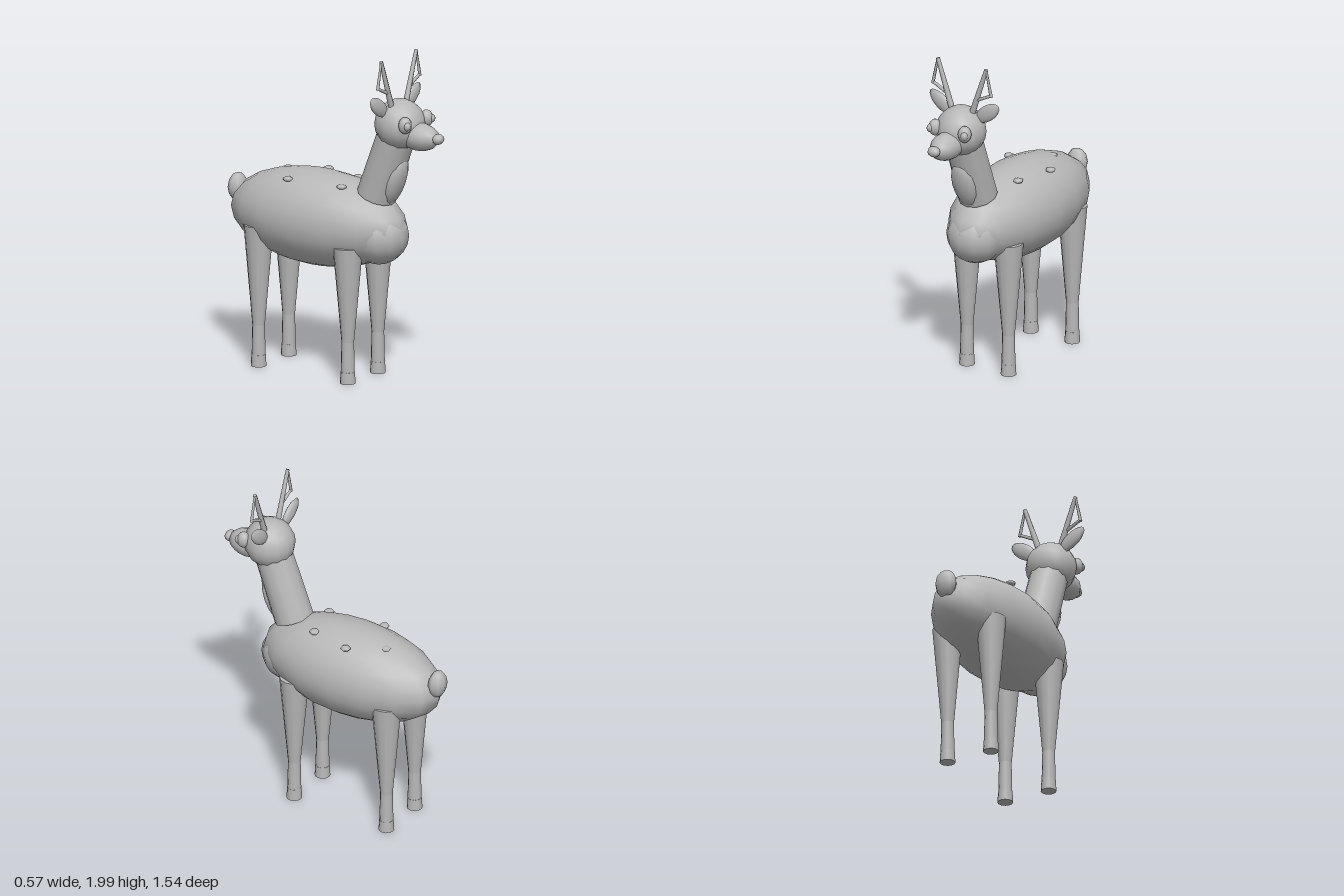
import * as THREE from 'three';

export function createModel() {
  const model = new THREE.Group();
  model.name = 'deer';
  const grey = new THREE.MeshStandardMaterial({ color: 0xb8b8b8 });
  grey.name = 'plain grey';

  const add = (name, geometry, parent = model) => {
    const mesh = new THREE.Mesh(geometry, grey);
    mesh.name = name;
    parent.add(mesh);
    return mesh;
  };
  const ellipsoid = (name, pos, radii, w = 12, h = 8, parent = model) => {
    const mesh = add(name, new THREE.SphereGeometry(1, w, h), parent);
    mesh.position.set(...pos);
    mesh.scale.set(...radii);
    return mesh;
  };
  // Tapered rod between two points
  const rod = (name, from, to, r0, r1, sides, parent = model) => {
    const a = new THREE.Vector3(...from), b = new THREE.Vector3(...to);
    const dir = b.clone().sub(a);
    const mesh = add(name, new THREE.CylinderGeometry(r1, r0, dir.length(), sides), parent);
    mesh.position.copy(a).add(b).multiplyScalar(0.5);
    mesh.quaternion.setFromUnitVectors(new THREE.Vector3(0, 1, 0), dir.normalize());
    return mesh;
  };

  // Torso
  ellipsoid('body', [0, 0.925, -0.125], [0.285, 0.285, 0.605], 16, 12);
  ellipsoid('chest', [0, 0.885, 0.305], [0.175, 0.175, 0.18], 12, 10);
  ellipsoid('tail', [0, 1.01, -0.715], [0.07, 0.085, 0.052], 8, 6);

  // Neck with its throat patch
  rod('neck', [0, 1.12, 0.29], [0, 1.55, 0.45], 0.118, 0.113, 12);
  const throat = ellipsoid('throatPatch', [0, 1.23, 0.43], [0.078, 0.16, 0.05], 12, 8);
  throat.rotation.x = 0.35;

  // Head
  ellipsoid('head', [0, 1.58, 0.46], [0.15, 0.15, 0.152], 14, 10);
  ellipsoid('muzzle', [0, 1.525, 0.6], [0.087, 0.083, 0.135], 12, 8);
  ellipsoid('nose', [0, 1.53, 0.735], [0.042, 0.032, 0.033], 8, 6);

  for (const s of [1, -1]) {
    const side = s > 0 ? 'left' : 'right';

    ellipsoid(side + 'Eye', [s * 0.105, 1.61, 0.573], [0.04, 0.05, 0.041], 10, 8);
    ellipsoid(side + 'Pupil', [s * 0.121, 1.61, 0.6], [0.022, 0.026, 0.022], 8, 6);

    const ear = ellipsoid(side + 'Ear', [s * 0.163, 1.708, 0.425], [0.1, 0.047, 0.022], 8, 8);
    ear.rotation.z = s * 0.62;

    // Antler: a main beam and a bent tine
    const antler = new THREE.Group();
    antler.name = side + 'Antler';
    model.add(antler);
    rod('beam', [s * 0.07, 1.69, 0.45], [s * 0.173, 1.99, 0.45], 0.019, 0.012, 6, antler);
    rod('lowerTine', [s * 0.115, 1.79, 0.45], [s * 0.208, 1.835, 0.45], 0.011, 0.009, 6, antler);
    rod('upperTine', [s * 0.208, 1.825, 0.45], [s * 0.173, 1.985, 0.45], 0.01, 0.007, 6, antler);

    // Legs: thigh, shin and hoof
    for (const [pos, z, top] of [['Front', 0.19, 0.825], ['Back', -0.455, 0.855]]) {
      const leg = new THREE.Group();
      leg.name = side + pos + 'Leg';
      leg.position.set(s * 0.148, 0, z);
      model.add(leg);
      rod('thigh', [0, 0.25, 0], [0, top, 0], 0.037, 0.089, 12, leg);
      rod('shin', [0, 0.06, 0], [0, 0.25, 0], 0.041, 0.037, 12, leg);
      rod('hoof', [0, 0, 0], [0, 0.07, 0], 0.046, 0.042, 12, leg);
    }
  }

  // Spots along the back
  const spots = [[0.053, -0.39], [-0.152, -0.24], [0.18, -0.19], [0.127, 0.063], [-0.107, 0.115]];
  for (const [x, z] of spots) ellipsoid('backSpot', [x, 1.165, z], [0.031, 0.015, 0.031], 6, 6);

  return model;
}
